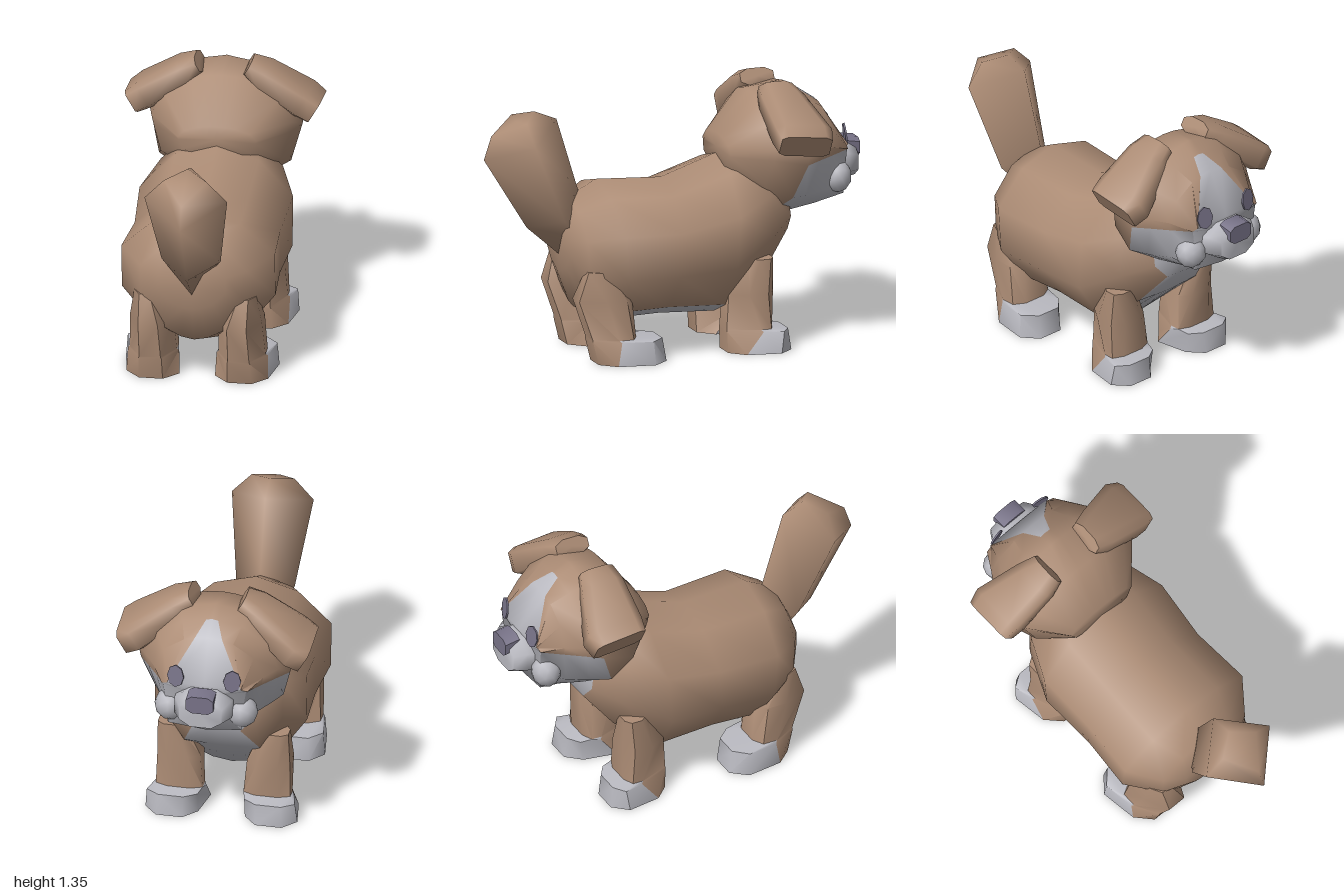
import * as THREE from 'three';
import { toCreasedNormals } from 'three/addons/utils/BufferGeometryUtils.js';

const lerp = THREE.MathUtils.lerp;

function makeMaterial(name, color) {
  const m = new THREE.MeshStandardMaterial({ color });
  m.name = name;
  return m;
}

// Joins rings of points into a capped skin; paint(ring, side) picks the material,
// with ring -1 for the first cap and rings.length - 1 for the last cap
function loft(name, rings, mats, paint = () => 0, crease = 1.2) {
  const tris = mats.map(() => []);
  const add = (m, ...pts) => tris[m].push(pts);
  const n = rings[0].length, last = rings.length - 1;
  for (let i = 0; i < last; i++) {
    for (let j = 0; j < n; j++) {
      const k = (j + 1) % n, m = paint(i, j);
      const [a, b, c, d] = [rings[i][j], rings[i][k], rings[i + 1][k], rings[i + 1][j]];
      add(m, a, b, c);
      add(m, a, c, d);
    }
  }
  for (const [ring, id, flip] of [[rings[0], -1, true], [rings[last], last, false]]) {
    const mid = [0, 1, 2].map(c => ring.reduce((s, p) => s + p[c], 0) / n);
    for (let j = 0; j < n; j++) {
      const p = ring[j], q = ring[(j + 1) % n];
      if (flip) add(paint(id, j), mid, q, p);
      else add(paint(id, j), mid, p, q);
    }
  }
  // Turn the skin outwards if its signed volume is negative
  let volume = 0;
  const [A, B, C] = [0, 0, 0].map(() => new THREE.Vector3());
  for (const [a, b, c] of tris.flat()) {
    volume += A.fromArray(a).dot(B.fromArray(b).cross(C.fromArray(c)));
  }
  const geo = new THREE.BufferGeometry();
  let start = 0;
  tris.forEach((list, m) => {
    if (volume < 0) list.forEach(t => t.reverse());
    geo.addGroup(start, list.length * 3, m);
    start += list.length * 3;
  });
  geo.setAttribute('position', new THREE.Float32BufferAttribute(tris.flat(3), 3));
  const mesh = new THREE.Mesh(toCreasedNormals(geo, crease), mats);
  mesh.name = name;
  return mesh;
}

// Symmetric cross-section: top, seam and bottom are [y, z]; profile holds [x, level],
// level 1 at the top, 0 at the seam and -1 at the bottom
function section({ top, seam, bottom, w, crown }, profile) {
  const half = profile.map(([px, t], i) => {
    let x = px;
    if (crown !== undefined && i > 0 && px > 0) x = i === 1 ? crown : Math.max(px, crown);
    const end = t >= 0 ? top : bottom, f = Math.abs(t);
    return [x * w, lerp(seam[0], end[0], f), lerp(seam[1], end[1], f)];
  });
  const other = half.slice(1, -1).reverse().map(([x, y, z]) => [-x, y, z]);
  return [...half, ...other];
}

// Eight-sided ring around a centre, spanned by two half axes; cut is the flat share of a side
function octagon(c, u, v, cut = 0.41) {
  return [[1, cut], [cut, 1], [-cut, 1], [-1, cut], [-1, -cut], [-cut, -1], [cut, -1], [1, -cut]]
    .map(([s, t]) => c.map((p, k) => p + u[k] * s + v[k] * t));
}

export function createModel() {
  const model = new THREE.Group();
  model.name = 'dog';
  const brown = makeMaterial('brown fur', 0xac8c75);
  const pale = makeMaterial('pale fur', 0xb9b9c0);
  const dark = makeMaterial('dark nose', 0x787388);
  const fur = [brown, pale];

  // Body, rear to chest, with a pale belly below the seam
  const bodyProfile = [[0, 1], [0.55, 0.91], [1, 0.66], [1, 0.3], [0.62, 0], [0.25, -0.8], [0, -1]];
  const bodyRings = [
    { top: [0.7, 0.6], bottom: [0.44, 0.6], w: 0.17, rise: 0.12 },
    { top: [0.81, 0.55], bottom: [0.24, 0.52], w: 0.27, rise: 0.12 },
    { top: [0.89, 0.4], bottom: [0.17, 0.34], w: 0.39, rise: 0.11 },
    { top: [0.87, 0.05], bottom: [0.175, 0.1], w: 0.37, rise: 0.11 },
    { top: [0.97, -0.25], bottom: [0.16, -0.2], w: 0.39, rise: 0.1 },
    { top: [1.0, -0.42], bottom: [0.4, -0.45], w: 0.31, rise: 0.015 },
    { top: [0.85, -0.55], bottom: [0.57, -0.585], w: 0.2, rise: 0.015 },
  ].map(r => section({ ...r, seam: [0, 1].map(k => lerp(r.bottom[k], r.top[k], r.rise)) }, bodyProfile));
  model.add(loft('body', bodyRings, fur, (i, j) => (i === 6 || (i >= 2 && j >= 4 && j <= 7) ? 1 : 0)));

  // Head, with a pale jaw below the seam and a pale blaze on the forehead
  const headProfile = [[0, 1], [0.2, 0.98], [0.45, 0.91], [0.83, 0.62], [1, 0.18], [0.97, 0],
    [0.85, -0.6], [0.45, -0.92], [0, -1]];
  const headRings = [
    { top: [1.07, -0.25], seam: [0.99, -0.25], bottom: [0.91, -0.24], w: 0.2 },
    { top: [1.28, -0.42], seam: [0.99, -0.43], bottom: [0.77, -0.37], w: 0.36 },
    { top: [1.315, -0.6], seam: [0.96, -0.6], bottom: [0.67, -0.49], w: 0.395, crown: 0.08 },
    { top: [1.27, -0.68], seam: [0.965, -0.68], bottom: [0.655, -0.58], w: 0.34, crown: 0.09 },
    { top: [1.21, -0.77], seam: [0.97, -0.77], bottom: [0.67, -0.72], w: 0.28, crown: 0.25 },
    { top: [1.0, -0.885], seam: [0.98, -0.87], bottom: [0.73, -0.86], w: 0.22, crown: 0.86 },
  ].map(r => section(r, headProfile));
  model.add(loft('head', headRings, fur, (i, j) => {
    const jaw = i >= 2 && j >= 5 && j <= 10;
    const blaze = i >= 3 && (j === 0 || j === 15);
    return jaw || blaze || i === 5 ? 1 : 0;
  }));

  // Tail, a kite-shaped club rising from the rump
  const kite = (front, x, side, back) => [[0, ...front], [x, ...side], [0, ...back], [-x, ...side]];
  model.add(loft('tail', [
    kite([0.78, 0.47], 0.08, [0.62, 0.53], [0.52, 0.6]),
    kite([0.86, 0.5], 0.15, [0.72, 0.62], [0.67, 0.77]),
    kite([1.22, 0.61], 0.21, [1.13, 0.8], [1.04, 1.0]),
    kite([1.27, 0.73], 0.11, [1.235, 0.81], [1.16, 0.96]),
  ], [brown], undefined, 1.9));

  // Muzzle and nose
  model.add(loft('muzzle', [
    octagon([0, 0.88, -0.84], [0.15, 0, 0], [0, 0.1, 0]),
    octagon([0, 0.89, -0.91], [0.145, 0, 0], [0, 0.095, 0], 0.5),
    octagon([0, 0.88, -0.972], [0.11, 0, 0], [0, 0.075, 0], 0.5),
  ], [pale]));
  model.add(loft('nose', [
    octagon([0, 0.965, -0.915], [0.07, 0, 0], [0, 0.037, 0], 0.6),
    octagon([0, 0.945, -0.995], [0.07, 0, 0], [0, 0.047, 0], 0.6),
  ], [dark], undefined, 0.7));

  for (const s of [1, -1]) {
    const side = s > 0 ? 'left' : 'right';

    // Drooping ear
    const ear = (x, y, z, thick, wide, tilt, cut) =>
      octagon([s * x, y, z], [s * thick * 0.5, thick * 0.86, 0], [0, tilt, wide], cut);
    model.add(loft(side + 'Ear', [
      ear(0.125, 1.31, -0.515, 0.045, 0.09, 0, 0.5),
      ear(0.2, 1.255, -0.525, 0.07, 0.115, 0.005, 0.6),
      ear(0.4, 1.12, -0.56, 0.075, 0.15, 0.015, 0.7),
      ear(0.465, 1.08, -0.555, 0.065, 0.135, 0.015, 0.75),
    ], [brown]));

    // Round cheek
    const cheek = new THREE.Mesh(
      toCreasedNormals(new THREE.IcosahedronGeometry(0.085, 1), 1), pale);
    cheek.name = side + 'Cheek';
    cheek.scale.set(0.95, 1, 0.9);
    cheek.position.set(s * 0.185, 0.84, -0.825);
    model.add(cheek);

    // Flat eye
    const eye = new THREE.Mesh(new THREE.CylinderGeometry(1, 1, 0.009, 8), dark);
    eye.name = side + 'Eye';
    eye.scale.set(0.045, 1, 0.06);
    eye.rotation.set(-Math.PI / 2 + 0.12, 0, s * -0.2);
    eye.position.set(s * 0.145, 1.04, -0.885);
    model.add(eye);

    // Legs with pale toes: rows are [y, front z, side corner z, back z, centre x, half x, toe-out]
    const limb = (name, rows) => {
      const rings = rows.map(([y, f, m, b, x, h, toe]) => {
        const c = lerp(f, m, 0.3);
        return [[-0.5, f], [0.5, f], [1, c], [1, m], [0.45, b], [-0.45, b], [-1, m], [-1, c]]
          .map(([t, z], i) => [s * (x + t * h + (i < 3 || i === 7 ? toe : 0)), y, z]);
      });
      model.add(loft(`${side}${name}Leg`, rings, fur, (i, j) =>
        (i === -1 || (i < 2 && (j <= 2 || j >= 6)) ? 1 : 0), 0.9));
    };
    limb('Hind', [
      [0, 0.14, 0.41, 0.49, 0.225, 0.135, 0.03],
      [0.12, 0.16, 0.39, 0.52, 0.225, 0.13, 0.025],
      [0.13, 0.29, 0.4, 0.52, 0.225, 0.12, 0],
      [0.33, 0.31, 0.46, 0.59, 0.225, 0.11, 0],
      [0.48, 0.42, 0.48, 0.54, 0.25, 0.06, 0],
    ]);
    limb('Front', [
      [0, -0.53, -0.28, -0.205, 0.225, 0.135, 0.03],
      [0.11, -0.515, -0.37, -0.2, 0.225, 0.13, 0.025],
      [0.12, -0.44, -0.36, -0.2, 0.225, 0.12, 0],
      [0.3, -0.445, -0.3, -0.21, 0.23, 0.11, 0],
      [0.48, -0.44, -0.36, -0.31, 0.265, 0.07, 0],
    ]);
  }
  return model;
}
